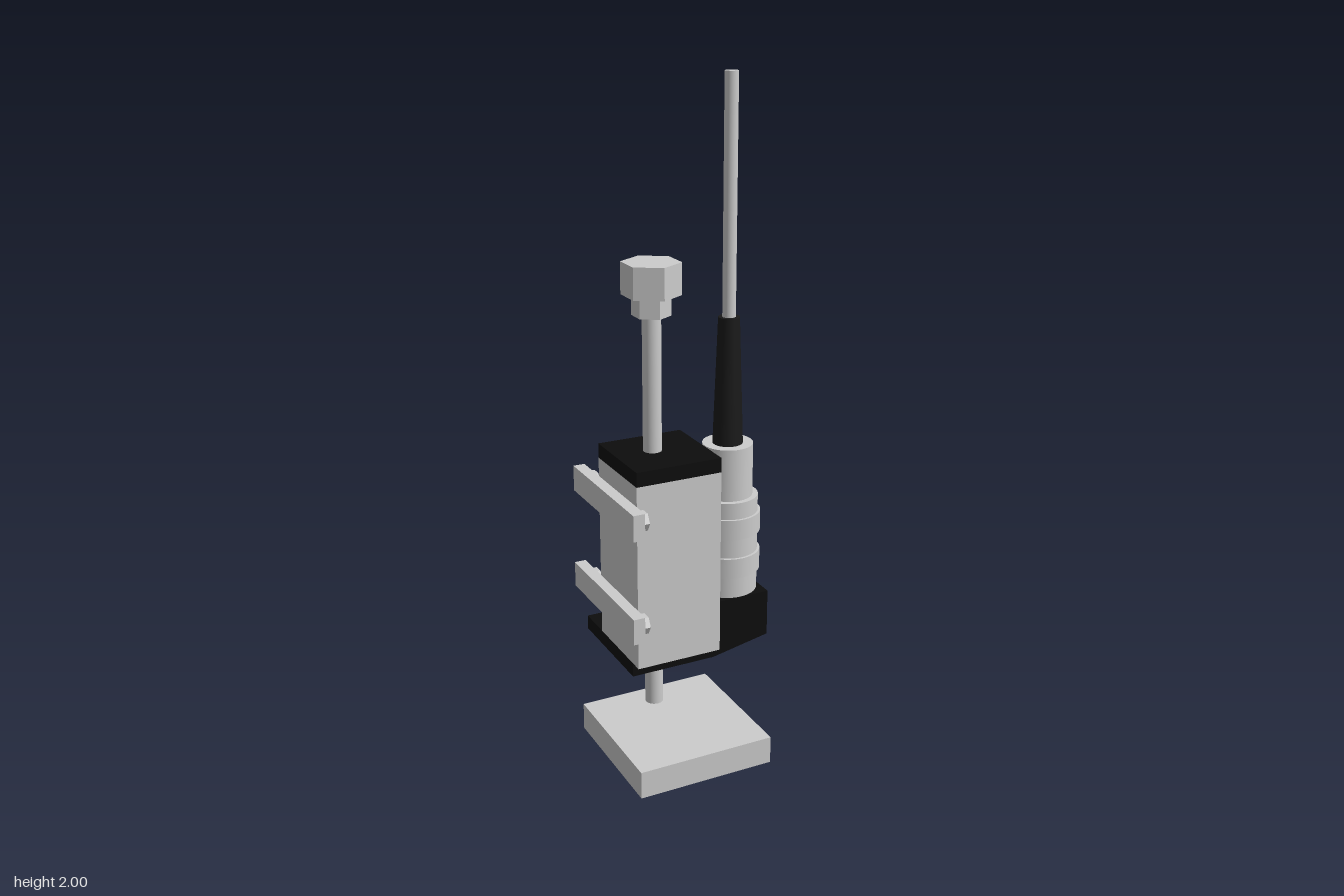
import * as THREE from 'three';

const grey = new THREE.MeshStandardMaterial({ color: 0xcccccc });
const black = new THREE.MeshStandardMaterial({ color: 0x0d0d0d });
const rubber = new THREE.MeshStandardMaterial({ color: 0x1a1a1a });
const facet = new THREE.MeshStandardMaterial({ color: 0xcccccc, flatShading: true });

export function createModel() {
  const model = new THREE.Group();

  const add = (name, geometry, material) => {
    const mesh = new THREE.Mesh(geometry, material);
    mesh.name = name;
    model.add(mesh);
    return mesh;
  };
  // Box given by its extents on each axis
  const box = (name, [x0, x1], [y0, y1], [z0, z1], material = grey) =>
    add(name, new THREE.BoxGeometry(x1 - x0, y1 - y0, z1 - z0), material)
      .position.set((x0 + x1) / 2, (y0 + y1) / 2, (z0 + z1) / 2);
  // Upright cylinder, cone or prism between two heights
  const post = (name, x, z, y0, y1, rBottom, rTop = rBottom, sides = 48, material = grey) =>
    add(name, new THREE.CylinderGeometry(rTop, rBottom, y1 - y0, sides), material)
      .position.set(x, (y0 + y1) / 2, z);

  // Foot and spindle with hexagonal head
  const sx = -0.07, sz = -0.058;
  box('footPlate', [-0.28, 0.147], [0, 0.085], [-0.13, 0.297]);
  post('spindle', sx, sz, 0.085, 1.34, 0.028);
  post('spindleNut', sx, sz, 1.33, 1.39, 0.058, 0.058, 6, facet);
  post('spindleHead', sx, sz, 1.39, 1.485, 0.088, 0.088, 6, facet);

  // Housing with its caps; the lower plate sits further back
  const width = [-0.19, 0.082];
  box('housing', width, [0.295, 0.875], [-0.182, 0.09]);
  box('topCap', width, [0.875, 0.92], [-0.182, 0.09], black);
  box('bottomPlate', width, [0.25, 0.295], [-0.298, 0.049], black);

  // Connector block with sloping underside
  const side = new THREE.Shape([[0.082, 0.25], [0.27, 0.287], [0.27, 0.435], [0.082, 0.435]]
    .map(([x, y]) => new THREE.Vector2(x, y)));
  add('connectorBlock', new THREE.ExtrudeGeometry(side, { depth: 0.19, bevelEnabled: false }), black)
    .position.z = -0.141;

  // Round connector, strain relief and cable
  const cx = 0.175, cz = -0.046;
  post('connectorBody', cx, cz, 0.435, 0.746, 0.094);
  post('connectorNeck', cx, cz, 0.746, 0.91, 0.077);
  for (const y of [0.503, 0.63]) post('gripRing', cx, cz, y, y + 0.064, 0.102);
  post('strainRelief', cx, cz, 0.91, 1.3, 0.046, 0.032, 48, rubber);
  post('cable', cx, cz, 1.3, 2, 0.02);

  // Mounting bars with a hexagonal bolt near each end
  for (const [y, z0, z1] of [[0.79, -0.261, 0.176], [0.465, -0.27, 0.17]]) {
    box('mountingBar', [-0.24, -0.204], [y - 0.04, y + 0.04], [z0, z1]);
    for (const z of [-0.219, 0.131]) {
      const bolt = add('barBolt', new THREE.CylinderGeometry(0.03, 0.03, 0.022, 6), facet);
      bolt.rotation.z = Math.PI / 2;
      bolt.position.set(-0.193, y, z);
    }
  }
  return model;
}
